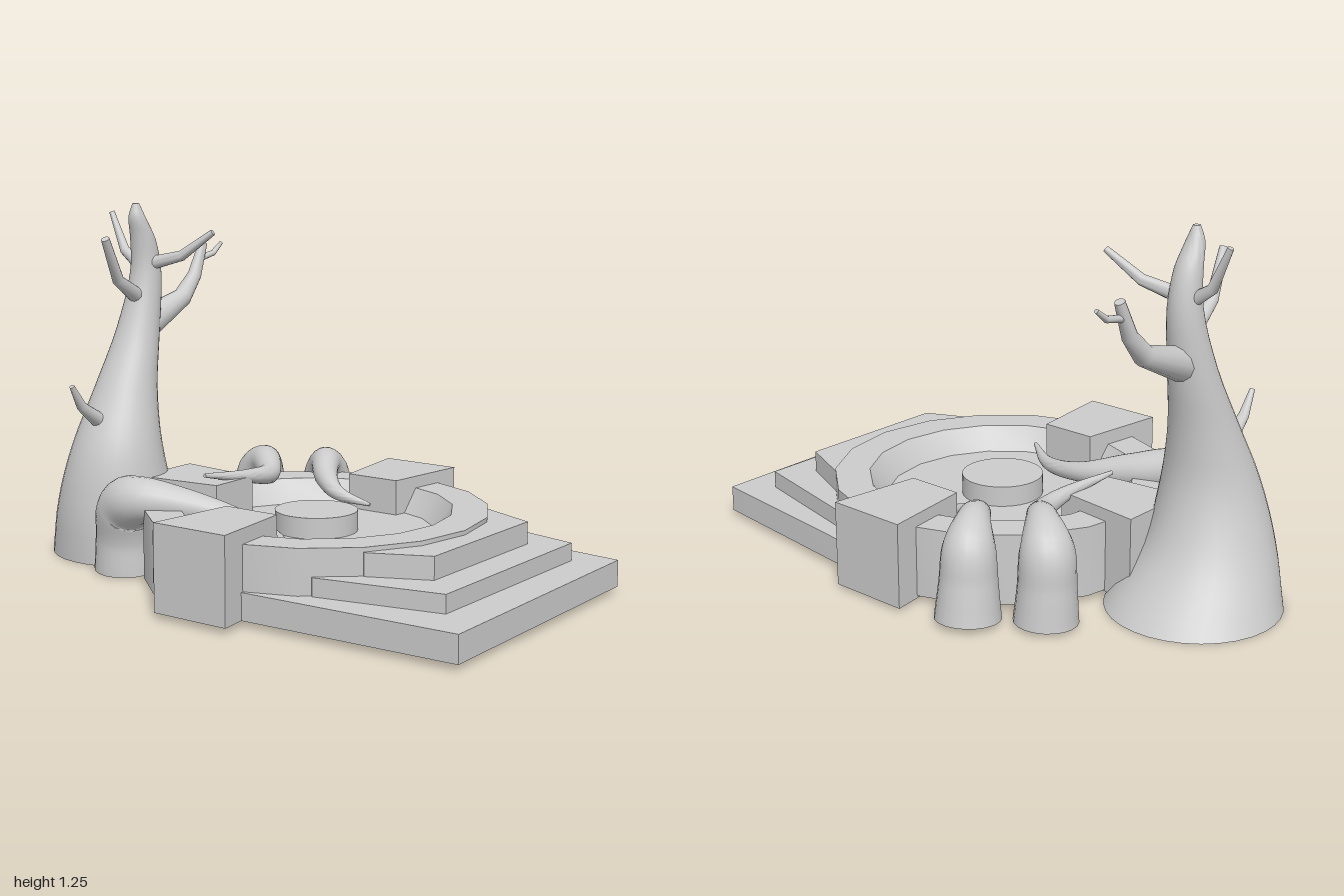
import * as THREE from 'three';
import { toCreasedNormals } from 'three/addons/utils/BufferGeometryUtils.js';

const material = new THREE.MeshStandardMaterial({ color: 0xcccccc, side: THREE.DoubleSide });
const CENTRE_Z = 0.1; // middle of the round plaza

function add(group, name, geometry, crease = 0.7) {
  const mesh = new THREE.Mesh(toCreasedNormals(geometry, crease), material);
  mesh.name = name;
  group.add(mesh);
  return mesh;
}

// Prism from a plan outline of [x, z] points
function slab(outline, y0, y1) {
  const shape = new THREE.Shape(outline.map(([x, z]) => new THREE.Vector2(x, -z)));
  const g = new THREE.ExtrudeGeometry(shape, { depth: y1 - y0, bevelEnabled: false });
  return g.rotateX(-Math.PI / 2).translate(0, y0, 0);
}

// Tapered, capped tube through [x, y, z, radius] stations; upright keeps the rings level
function limb(stations, steps, sides, upright = false) {
  const path = new THREE.CatmullRomCurve3(stations.map(([x, y, z]) => new THREE.Vector3(x, y, z)));
  const radii = new THREE.CatmullRomCurve3(stations.map((s, i) => new THREE.Vector3(i * 0.05, s[3], 0)));
  const positions = [], index = [];
  const normal = new THREE.Vector3(0.31, 0.2, 0.93);
  const rows = steps + 3; // first and last rows close the ends
  for (let j = 0; j < rows; j++) {
    const t = THREE.MathUtils.clamp((j - 1) / steps, 0, 1);
    const c = path.getPoint(t);
    const tangent = upright ? new THREE.Vector3(0, 1, 0) : path.getTangent(t);
    normal.addScaledVector(tangent, -normal.dot(tangent)).normalize();
    const side = new THREE.Vector3().crossVectors(tangent, normal);
    const r = j === 0 || j === rows - 1 ? 0 : radii.getPoint(t).y;
    for (let i = 0; i < sides; i++) {
      const a = (i / sides) * Math.PI * 2;
      const p = c.clone().addScaledVector(normal, r * Math.cos(a)).addScaledVector(side, r * Math.sin(a));
      positions.push(p.x, p.y, p.z);
      if (j < rows - 1) {
        const k = (i + 1) % sides, b = j * sides, n = b + sides;
        index.push(b + i, b + k, n + i, b + k, n + k, n + i);
      }
    }
  }
  const g = new THREE.BufferGeometry();
  g.setAttribute('position', new THREE.Float32BufferAttribute(positions, 3));
  g.setIndex(index);
  return g;
}

function buildPlaza() {
  const plaza = new THREE.Group();
  plaza.name = 'plaza';

  // Ring wall with a sloped inner lip
  const profile = [[0.4, 0.02], [0.58, 0.02], [0.58, 0.26], [0.46, 0.26], [0.4, 0.18], [0.4, 0.02]];
  add(plaza, 'ringWall', new THREE.LatheGeometry(profile.map(p => new THREE.Vector2(...p)), 18)
    .translate(0, 0, CENTRE_Z), 0.5);
  add(plaza, 'floor', new THREE.CircleGeometry(0.41, 36).rotateX(-Math.PI / 2).translate(0, 0.18, CENTRE_Z));
  add(plaza, 'centreDisc', new THREE.CylinderGeometry(0.14, 0.14, 0.23, 32).translate(0, 0.135, CENTRE_Z));

  // Front steps, each hollowed by an arc that runs inside the ring wall
  const steps = [
    { top: 0.11, from: 0, outer: [[-0.575, 0.1], [-0.545, 0.99], [0.48, 0.98], [0.57, 0.24], [0.575, 0.1]] },
    { top: 0.17, from: 33, outer: [[-0.48, 0.43], [-0.395, 0.855], [0.38, 0.86], [0.48, 0.43]] },
    { top: 0.245, from: 50, outer: [[-0.375, 0.55], [-0.285, 0.745], [0.28, 0.75], [0.365, 0.55]] },
  ];
  steps.forEach(({ top, from, outer }, n) => {
    const arc = [];
    for (let i = 0; i <= 12; i++) {
      const a = THREE.MathUtils.degToRad(from + (180 - 2 * from) * i / 12);
      arc.push([0.48 * Math.cos(a), CENTRE_Z + 0.48 * Math.sin(a)]);
    }
    add(plaza, 'step' + (n + 1), slab([...outer, ...arc], 0.02 + n * 0.002, top));
  });

  // Wedge blocks set into the ring
  add(plaza, 'rightBlock', slab([[-0.665, -0.045], [-0.35, -0.005], [-0.35, 0.2], [-0.665, 0.24]], 0.02, 0.31));
  add(plaza, 'leftBlock', slab([[0.335, 0], [0.655, -0.045], [0.655, 0.24], [0.335, 0.2]], 0.012, 0.302));
  add(plaza, 'backBlock', slab([[-0.135, -0.57], [0.14, -0.57], [0.1, -0.25], [-0.1, -0.25]], 0.015, 0.302));
  return plaza;
}

function buildTree() {
  const tree = new THREE.Group();
  tree.name = 'tree';

  // Leaning trunk with a flared foot
  add(tree, 'trunk', limb([
    [-0.015, 0, -0.71, 0.29], [-0.095, 0.2, -0.71, 0.212], [-0.11, 0.4, -0.695, 0.16],
    [-0.06, 0.6, -0.695, 0.112], [0.008, 0.8, -0.695, 0.078], [0.048, 1.0, -0.69, 0.056],
    [0.035, 1.12, -0.69, 0.045], [0.005, 1.2, -0.69, 0.03], [0, 1.248, -0.69, 0.012],
  ], 32, 32, true));

  // Angular bare branches
  const branches = {
    leftBranch: [[0.05, 0.82, -0.69, 0.058], [0.25, 0.895, -0.69, 0.035], [0.32, 0.97, -0.69, 0.026], [0.37, 1.085, -0.69, 0.017]],
    leftTwig: [[0.35, 1.03, -0.69, 0.013], [0.43, 1.045, -0.69, 0.011], [0.477, 1.08, -0.69, 0.007]],
    upperRightBranch: [[0.03, 0.9, -0.69, 0.032], [-0.12, 0.985, -0.67, 0.021], [-0.205, 1.135, -0.65, 0.015]],
    lowerRightBranch: [[-0.13, 0.48, -0.69, 0.035], [-0.22, 0.505, -0.69, 0.027], [-0.3, 0.56, -0.685, 0.018], [-0.352, 0.637, -0.68, 0.009]],
    frontBranch: [[0.045, 1.03, -0.68, 0.026], [0.07, 1.065, -0.54, 0.019], [0.105, 1.15, -0.425, 0.011]],
    backBranch: [[0.045, 1.01, -0.69, 0.026], [0.05, 1.075, -0.79, 0.018], [0.05, 1.21, -0.85, 0.01]],
  };
  for (const [name, s] of Object.entries(branches)) add(tree, name, limb(s, s.length - 1, 12), 0.9);
  return tree;
}

function buildRoots() {
  const roots = new THREE.Group();
  roots.name = 'roots';

  // Thick stumps that curl over the wall and taper to a tip
  const paths = {
    rightRoot: [[-0.27, 0.012, -0.51, 0.115], [-0.28, 0.13, -0.505, 0.105], [-0.31, 0.235, -0.475, 0.1],
      [-0.34, 0.275, -0.39, 0.082], [-0.28, 0.265, -0.25, 0.06], [-0.215, 0.235, -0.08, 0.036],
      [-0.25, 0.21, 0.1, 0.024], [-0.36, 0.215, 0.26, 0.007]],
    backLeftRoot: [[0.41, 0.012, -0.45, 0.105], [0.405, 0.13, -0.45, 0.095], [0.395, 0.245, -0.44, 0.088],
      [0.335, 0.305, -0.37, 0.055], [0.24, 0.285, -0.285, 0.038], [0.1, 0.3, -0.27, 0.024], [-0.09, 0.328, -0.31, 0.007]],
    frontLeftRoot: [[0.555, 0.012, -0.25, 0.108], [0.545, 0.13, -0.245, 0.095], [0.53, 0.24, -0.235, 0.085],
      [0.46, 0.3, -0.19, 0.055], [0.36, 0.27, -0.115, 0.04], [0.3, 0.235, -0.02, 0.025], [0.305, 0.21, 0.11, 0.006]],
  };
  for (const [name, s] of Object.entries(paths)) add(roots, name, limb(s, 40, 20));
  return roots;
}

export function createModel() {
  const model = new THREE.Group();
  model.name = 'treePlaza';
  model.add(buildPlaza(), buildTree(), buildRoots());
  return model;
}
